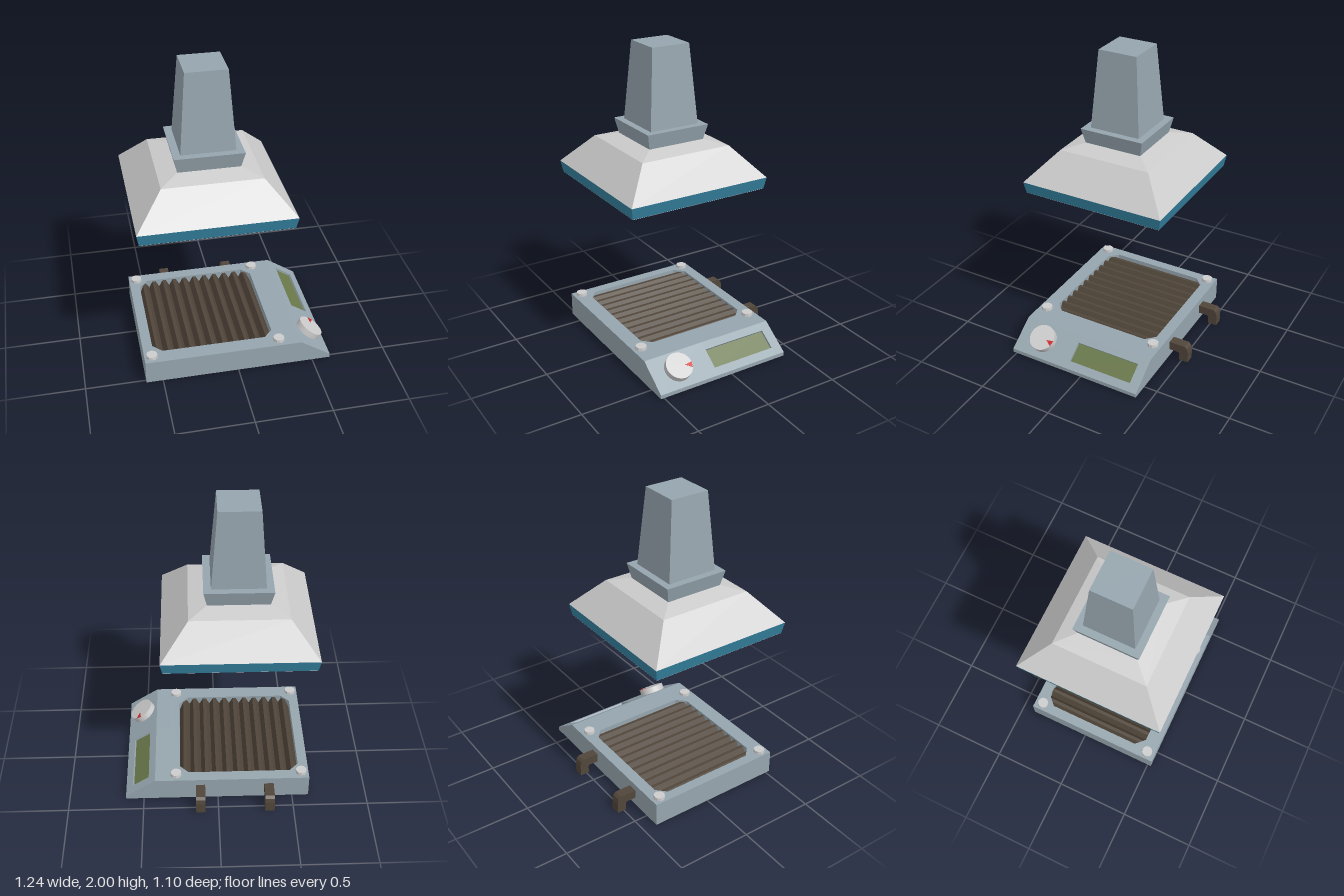
import * as THREE from 'three';

const mat = (color) => new THREE.MeshStandardMaterial({ color, flatShading: true });
const steel = mat(0x96a5ae), grey = mat(0xcccccc), blue = mat(0x34819f);
const iron = mat(0x51463a), green = mat(0x69784a), red = mat(0xd02828);

export function createModel() {
  const root = new THREE.Group();

  function add(parent, name, geometry, material, x = 0, y = 0, z = 0) {
    const mesh = new THREE.Mesh(geometry, material);
    mesh.name = name;
    mesh.position.set(x, y, z);
    parent.add(mesh);
    return mesh;
  }
  const shapeOf = (pts) => new THREE.Shape(pts.map(([x, y]) => new THREE.Vector2(x, y)));

  // Outline in x/y, extruded between two z positions
  function slice(pts, z0, z1) {
    return new THREE.ExtrudeGeometry(shapeOf(pts), { depth: z1 - z0, bevelEnabled: false }).translate(0, 0, z0);
  }

  // Square tapered block given by its half widths
  function frustum(y0, half0, y1, half1) {
    return new THREE.CylinderGeometry(half1 * Math.SQRT2, half0 * Math.SQRT2, y1 - y0, 4)
      .rotateY(Math.PI / 4).translate(0, (y0 + y1) / 2, 0);
  }

  // ---- Hood floating above the stove ----
  const hood = new THREE.Group();
  hood.name = 'hood';
  hood.position.set(-0.135, 0, 0.066);
  root.add(hood);
  add(hood, 'hoodRim', frustum(1.09, 0.474, 1.165, 0.487), blue);
  add(hood, 'hoodSkirt', frustum(1.165, 0.487, 1.36, 0.312), grey);
  add(hood, 'hoodShoulder', frustum(1.36, 0.312, 1.39, 0.195), grey);
  add(hood, 'chimneyCollar', frustum(1.39, 0.195, 1.49, 0.217), steel);
  add(hood, 'chimney', frustum(1.49, 0.17, 2.0, 0.13), steel);
  add(hood, 'hoodUnderside', new THREE.BoxGeometry(0.946, 0.004, 0.946), grey, 0, 1.09, 0);

  // ---- Stove body ----
  const stove = new THREE.Group();
  stove.name = 'stove';
  root.add(stove);
  const bottom = 0.004, top = 0.165, zBack = -0.41, zFront = 0.525;
  const xLeft = -0.61, xJoin = 0.32, xBend = 0.42, xEnd = 0.62, yEnd = 0.03;

  // Deck with a chamfered rectangular opening
  const deck = shapeOf([[xLeft, -zFront], [xJoin, -zFront], [xJoin, -zBack], [xLeft, -zBack]]);
  const l = -0.545, r = 0.255, b = -0.425, t = 0.335, c = 0.06;
  deck.holes.push(new THREE.Path([
    [l + c, b], [l, b + c], [l, t - c], [l + c, t], [r - c, t], [r, t - c], [r, b + c], [r - c, b],
  ].map(([x, y]) => new THREE.Vector2(x, y))));
  add(stove, 'deck', new THREE.ExtrudeGeometry(deck, { depth: top - 0.09, bevelEnabled: false })
    .rotateX(-Math.PI / 2), steel, 0, 0.09, 0);
  add(stove, 'base', new THREE.BoxGeometry(xJoin - xLeft, 0.09 - bottom, zFront - zBack), steel,
    (xLeft + xJoin) / 2, (0.09 + bottom) / 2, (zFront + zBack) / 2);

  // Sloping control panel, notched where the display sits
  const slope = Math.atan2(top - yEnd, xEnd - xBend);
  const nx = Math.sin(slope), ny = Math.cos(slope);
  const onSlope = (x, lift = 0) => [
    x + nx * lift, top - (x - xBend) * Math.tan(slope) + ny * lift];
  const start = [[xJoin, bottom], [xEnd, bottom], [xEnd, yEnd]];
  const end = [[xBend, top], [xJoin, top]];
  const notch = [onSlope(0.575), onSlope(0.575, -0.018), onSlope(0.465, -0.018), onSlope(0.465)];
  const z0 = -0.343, z1 = 0.103;
  add(stove, 'panelBack', slice([...start, ...end], zBack, z0), steel);
  add(stove, 'panelMiddle', slice([...start, ...notch, ...end], z0, z1), steel);
  add(stove, 'panelFront', slice([...start, ...end], z1, zFront), steel);
  add(stove, 'display', slice([onSlope(0.575, -0.019), onSlope(0.575, -0.015),
    onSlope(0.465, -0.015), onSlope(0.465, -0.019)], z0, z1), green);

  // Ribbed grill inside the opening
  const ribs = 11, pitch = (r - l) / ribs;
  const saw = [[l, 0.085], [r, 0.085]];
  for (let i = ribs - 1; i >= 0; i--) {
    const x = l + i * pitch;
    saw.push([x + pitch, 0.105], [x + pitch * 0.65, 0.153], [x + pitch * 0.35, 0.153]);
  }
  saw.push([l, 0.105]);
  add(stove, 'grill', slice(saw, -t, -b), iron);

  // Corner bolts
  for (const x of [-0.56, 0.28]) {
    for (const z of [-0.353, 0.468]) {
      add(stove, 'bolt', new THREE.CylinderGeometry(0.036, 0.038, 0.024, 10), grey, x, 0.174, z);
    }
  }

  // Knob with its pointer, set square to the slope
  const knob = new THREE.Group();
  knob.name = 'knob';
  const [kx, ky] = onSlope(0.513);
  knob.position.set(kx, ky, 0.342);
  knob.rotation.z = -slope;
  stove.add(knob);
  const knobMat = new THREE.MeshStandardMaterial({ color: 0xcccccc });
  add(knob, 'knobBody', new THREE.CylinderGeometry(0.088, 0.088, 0.05, 32), knobMat, 0, 0.017, 0);
  const pointer = new THREE.ExtrudeGeometry(shapeOf([[0, 0.038], [0.019, 0.085], [-0.019, 0.085]]),
    { depth: 0.003, bevelEnabled: false }).rotateX(-Math.PI / 2);
  add(knob, 'knobPointer', pointer, red, 0, 0.041, 0).rotation.y = -0.22;

  // Bent pipes at the back, outlined in z/y
  const pipe = shapeOf([[0.38, 0.12], [0.52, 0.12], [0.537, 0.105], [0.545, 0.075], [0.545, 0],
    [0.483, 0], [0.483, 0.05], [0.475, 0.06], [0.38, 0.06]].map(([d, y]) => [-d, y]).reverse());
  for (const x of [-0.341, 0.118]) {
    const geometry = new THREE.ExtrudeGeometry(pipe, { depth: 0.063, bevelEnabled: false })
      .translate(0, 0, -0.0315).rotateY(-Math.PI / 2);
    add(stove, 'backPipe', geometry, iron, x, 0, 0);
  }
  return root;
}
